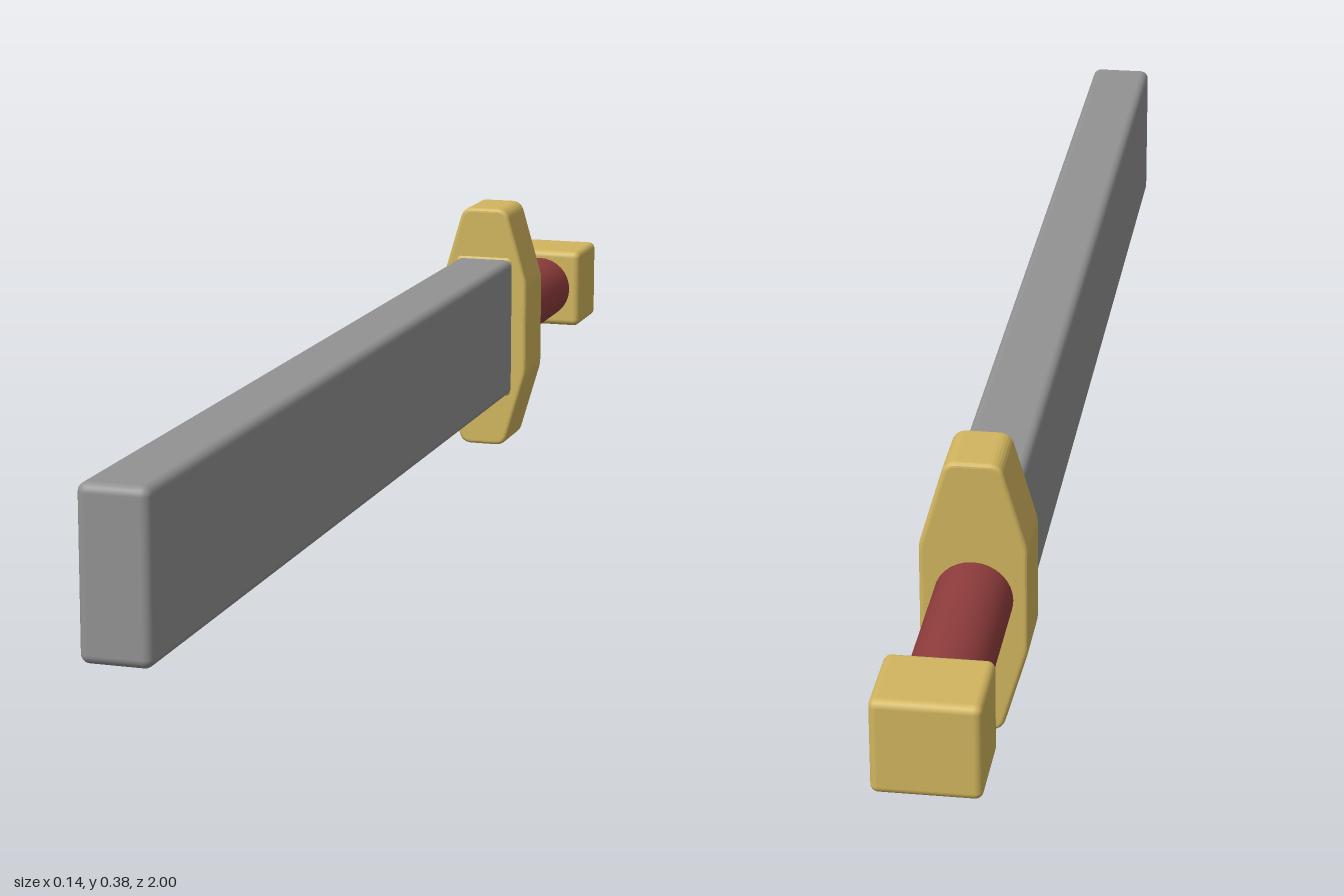
import * as THREE from 'three';
import { RoundedBoxGeometry } from 'three/addons/geometries/RoundedBoxGeometry.js';

const MID_Y = 0.19; // height of the sword's long axis

// Closed outline whose corners [x, y, radius] are softened
function roundedOutline(corners) {
  const shape = new THREE.Shape();
  const n = corners.length;
  corners.forEach(([x, y, r], i) => {
    const p = new THREE.Vector2(x, y);
    const toward = (c) => new THREE.Vector2(c[0], c[1]).sub(p).setLength(r).add(p);
    const a = toward(corners[(i + n - 1) % n]);
    const b = toward(corners[(i + 1) % n]);
    if (i === 0) shape.moveTo(a.x, a.y);
    else shape.lineTo(a.x, a.y);
    shape.quadraticCurveTo(x, y, b.x, b.y);
  });
  shape.closePath();
  return shape;
}

export function createModel() {
  const group = new THREE.Group();
  const steel = new THREE.MeshStandardMaterial({ color: 0x929292 });
  const gold = new THREE.MeshStandardMaterial({ color: 0xd1b55e });
  const leather = new THREE.MeshStandardMaterial({ color: 0x8f3c3c });

  function add(name, geometry, material, y, z) {
    const mesh = new THREE.Mesh(geometry, material);
    mesh.name = name;
    mesh.position.set(0, y, z);
    group.add(mesh);
  }

  // Blade: a long bar with softened edges, its root set into the guard
  add('blade', new RoundedBoxGeometry(0.09, 0.214, 1.55, 4, 0.012), steel, 0.189, 0.225);

  // Collar: thin gold rim where the blade enters the guard
  add('collar', new RoundedBoxGeometry(0.094, 0.224, 0.03, 4, 0.01), gold, MID_Y, -0.552);

  // Guard: tapered octagonal plate with a small bevel
  const bevel = 0.006;
  const w = 0.0685 - bevel, tip = 0.036 - bevel, h = 0.1875 - bevel;
  const quarter = [[w, 0.07, 0.008], [tip, h, 0.01]];
  const flip = (sx, sy) => quarter.map(([x, y, r]) => [x * sx, y * sy, r]);
  const outline = roundedOutline([
    ...flip(1, 1), ...flip(-1, 1).reverse(),
    ...flip(-1, -1), ...flip(1, -1).reverse(),
  ]);
  const guard = new THREE.ExtrudeGeometry(outline, {
    depth: 0.096 - 2 * bevel, bevelEnabled: true,
    bevelSize: bevel, bevelThickness: bevel, bevelSegments: 4, curveSegments: 6,
  });
  guard.center();
  add('guard', guard, gold, 0.1875, -0.588);

  // Grip: round handle running from the guard into the pommel
  const grip = new THREE.CylinderGeometry(0.05, 0.05, 0.32, 32);
  grip.rotateX(Math.PI / 2);
  add('grip', grip, leather, MID_Y, -0.76);

  // Pommel: block with softened edges
  add('pommel', new RoundedBoxGeometry(0.132, 0.124, 0.115, 4, 0.01), gold, MID_Y, -0.9425);

  return group;
}
